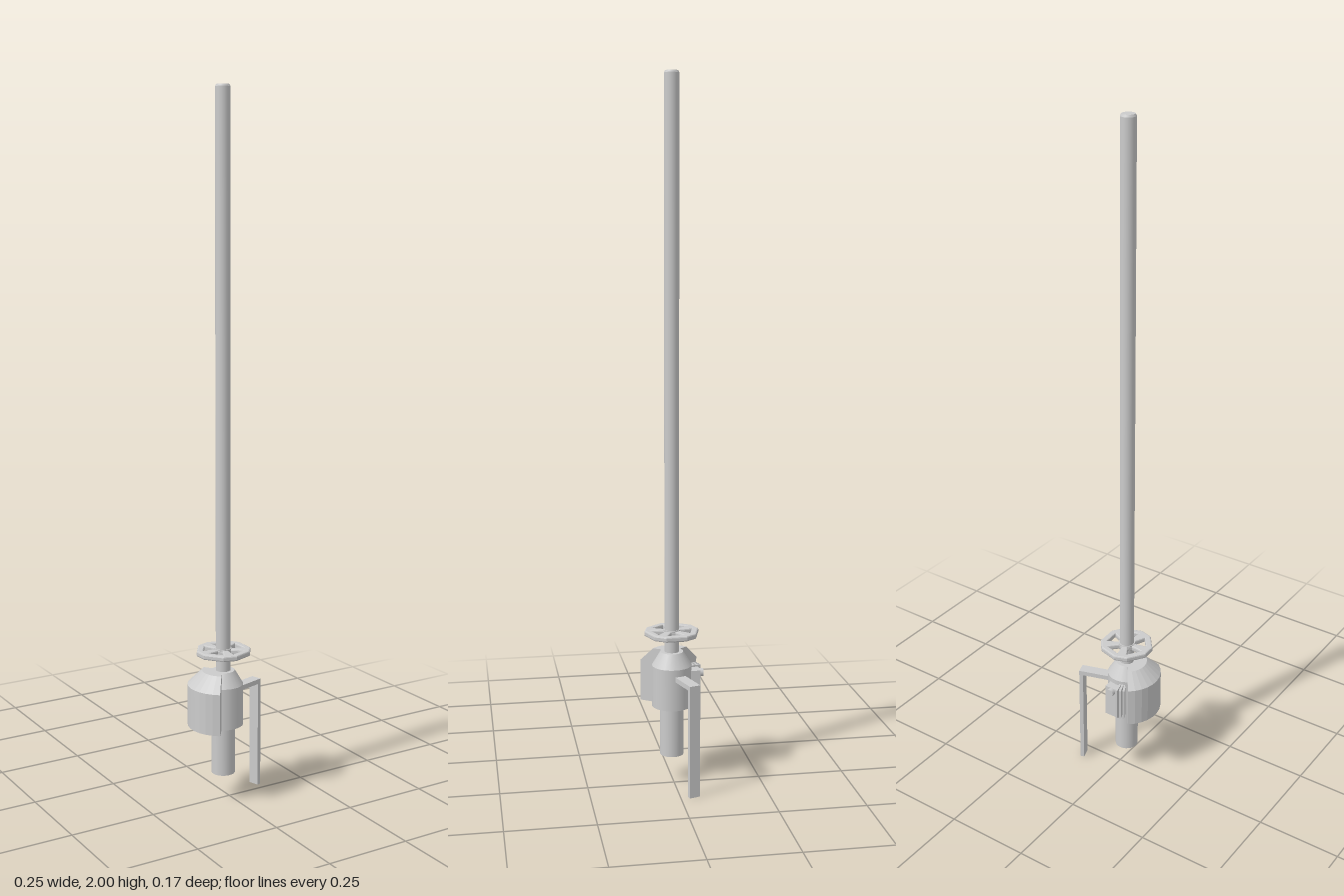
import * as THREE from 'three';

const rad = THREE.MathUtils.degToRad;

export function createModel() {
  const model = new THREE.Group();
  const smooth = new THREE.MeshStandardMaterial({ color: 0xcccccc });
  const flat = new THREE.MeshStandardMaterial({ color: 0xcccccc, flatShading: true, side: THREE.DoubleSide });

  // Everything is built around the rod's axis, then shifted at the end
  const axis = new THREE.Group();
  axis.name = 'valve';
  axis.position.set(-0.022, 0, 0.003);
  model.add(axis);

  function add(name, geometry, material = flat, parent = axis) {
    const mesh = new THREE.Mesh(geometry, material);
    mesh.name = name;
    parent.add(mesh);
    return mesh;
  }
  function tube(name, rTop, rBottom, y0, y1, sides = 24) {
    const mesh = add(name, new THREE.CylinderGeometry(rTop, rBottom, y1 - y0, sides), smooth);
    mesh.position.y = (y0 + y1) / 2;
    return mesh;
  }
  function box(name, w, h, d, x, y, z, parent = axis) {
    const mesh = add(name, new THREE.BoxGeometry(w, h, d), flat, parent);
    mesh.position.set(x, y, z);
    return mesh;
  }

  // Rod, body and outlet pipe
  tube('rod', 0.021, 0.021, 0.38, 1.994);
  tube('rodTip', 0.018, 0.021, 1.994, 2);
  tube('bodyShoulder', 0.033, 0.057, 0.345, 0.385);
  tube('body', 0.057, 0.057, 0.225, 0.345);
  tube('outletPipe', 0.034, 0.034, 0.08, 0.225);

  // Handwheel: chamfered pentagon with five windows between the spokes
  const polar = (r, deg) => new THREE.Vector2(r * Math.cos(rad(deg)), r * Math.sin(rad(deg)));
  const outline = [], windows = [];
  for (let i = 0; i < 5; i++) {
    const spoke = 34 + i * 72;
    outline.push(polar(0.079, spoke - 14), polar(0.079, spoke + 14));
    const mid = spoke + 36;
    windows.push(new THREE.Path([polar(0.025, mid - 14), polar(0.025, mid + 14),
      polar(0.059, mid + 22), polar(0.059, mid - 22)]));
  }
  const wheelShape = new THREE.Shape(outline);
  wheelShape.holes = windows;
  const wheel = add('handwheel', new THREE.ExtrudeGeometry(wheelShape, {
    depth: 0.008, bevelThickness: 0.004, bevelSize: 0.004, bevelOffset: -0.004, bevelSegments: 2,
  }));
  wheel.rotation.x = Math.PI / 2;
  wheel.position.y = 0.444;
  tube('wheelHub', 0.024, 0.024, 0.43, 0.45);

  // Solid guard sector on the right side, closed by a cap at each end
  const profile = [[0.05, 0.225], [0.102, 0.225], [0.102, 0.345], [0.06, 0.385], [0.03, 0.385]]
    .map(([r, y]) => new THREE.Vector2(r, y));
  const start = 216, sweep = 108;
  const guard = new THREE.Group();
  guard.name = 'guard';
  axis.add(guard);
  add('guardShell', new THREE.LatheGeometry(profile, 9, rad(start), rad(sweep)), flat, guard);
  for (const deg of [start, start + sweep]) {
    const cap = add('guardEnd', new THREE.ShapeGeometry(new THREE.Shape(profile)), flat, guard);
    cap.rotation.y = rad(deg - 90);
  }

  // Fitting and ribs at the back
  box('backFitting', 0.045, 0.1, 0.035, 0, 0.28, -0.062);
  const nub = add('fittingKnob', new THREE.CylinderGeometry(0.012, 0.012, 0.03, 12), smooth);
  nub.rotation.x = Math.PI / 2;
  nub.position.set(0, 0.318, -0.076);
  for (const deg of [104, 111, 118]) {
    const rib = new THREE.Group();
    rib.name = 'rib';
    rib.rotation.y = rad(deg);
    axis.add(rib);
    box('ribPlate', 0.04, 0.1, 0.006, 0.07, 0.285, 0, rib);
  }

  // Bent lever: flat arm out from the body, then straight down
  const lever = new THREE.Group();
  lever.name = 'lever';
  lever.rotation.y = rad(17);
  axis.add(lever);
  box('leverArm', 0.1, 0.014, 0.032, 0.096, 0.318, 0, lever);
  box('leverHandle', 0.012, 0.325, 0.032, 0.14, 0.1625, 0, lever);

  return model;
}
